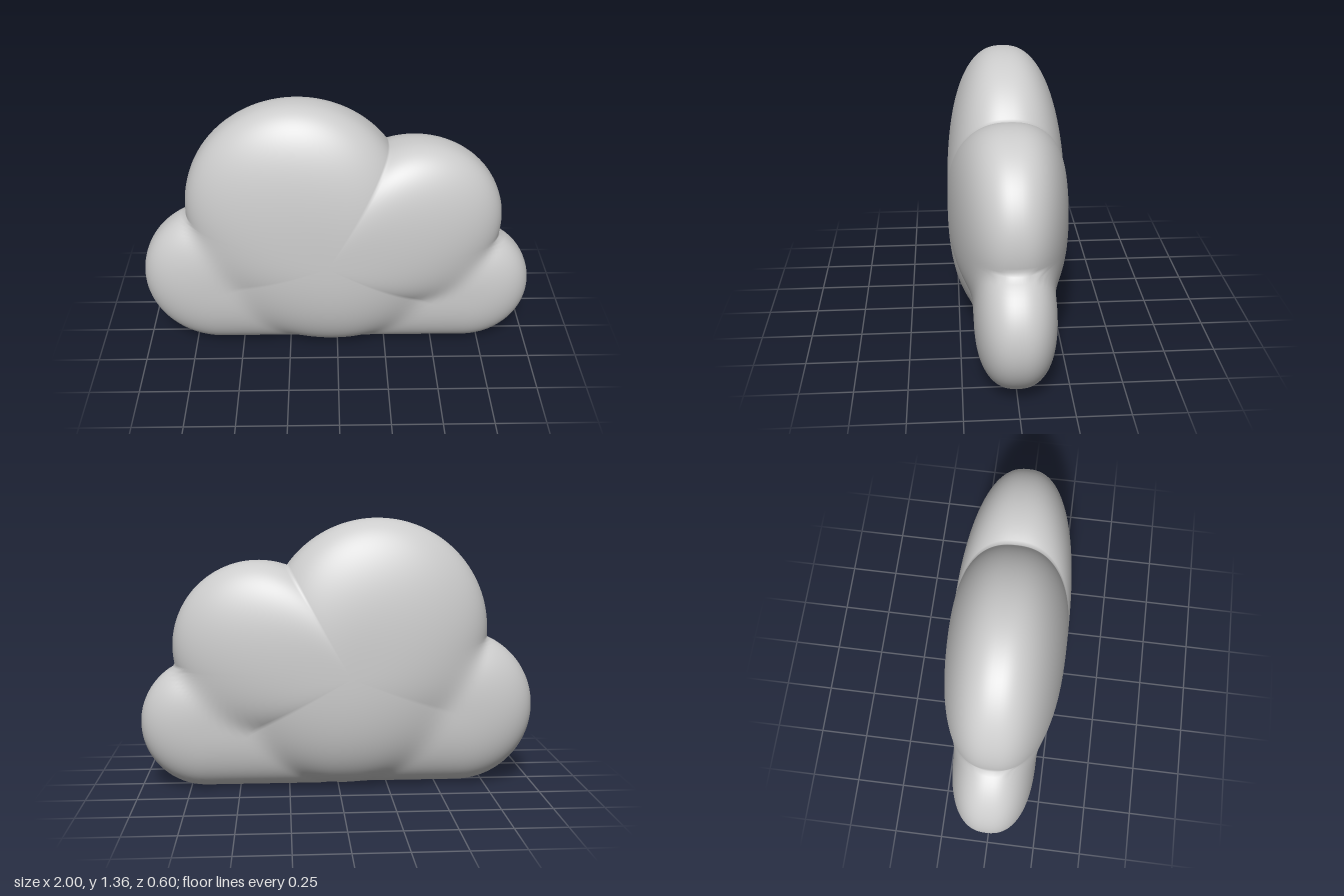
import * as THREE from 'three';

// Middle of the cloud, from which the surface fans out
const PX = -0.05, PY = 0.6;

// Overlapping discs that outline the main body: x, y, radius
const bodyDiscs = [
  [-0.2, 0.8, 0.56],   // tall top puff
  [0.4, 0.72, 0.432],  // shoulder puff
  [-0.03, 0.6, 0.592], // underside
];

// Side puffs, stretched inward along the base: x, y, radius, inner x, half depth
const sidePuffs = [
  [-0.61, 0.4, 0.39, 0, 0.21],
  [0.67, 0.333, 0.33, 0.1, 0.19],
];

// Pillow profile: 1 in the middle, 0 at the rim
const pillow = (s) => (s >= 1 ? 0 : Math.pow(1 - Math.pow(s, 2.4), 1 / 2.4));

// Distance from the middle to the body outline in direction (dx, dy)
function bodyRadius(dx, dy) {
  let far = 0;
  for (const [cx, cy, r] of bodyDiscs) {
    const ox = cx - PX, oy = cy - PY;
    const along = ox * dx + oy * dy;
    const root = r * r - (ox * ox + oy * oy - along * along);
    if (root > 0) far = Math.max(far, along + Math.sqrt(root));
  }
  return far;
}

// Half depth of the cloud at distance d in direction (dx, dy)
function halfDepth(dx, dy, d) {
  const x = PX + dx * d, y = PY + dy * d;
  const depths = [0.298 * pillow(d / bodyRadius(dx, dy))];
  for (const [cx, cy, r, inner, depth] of sidePuffs) {
    const nearX = Math.min(Math.max(x, Math.min(cx, inner)), Math.max(cx, inner));
    depths.push(depth * pillow(Math.hypot(x - nearX, y - cy) / r));
  }
  // Soft maximum blends the puffs where they meet
  const top = Math.max(...depths);
  if (top === 0) return 0;
  return top * Math.pow(depths.reduce((sum, h) => sum + Math.pow(h / top, 9), 0), 1 / 9);
}

// Outline distance, found by halving
function outline(dx, dy) {
  let lo = 0.3, hi = 1.4;
  for (let k = 0; k < 40; k++) {
    const mid = (lo + hi) / 2;
    if (halfDepth(dx, dy, mid) > 0) lo = mid; else hi = mid;
  }
  return lo;
}

function cloudGeometry(segments = 288, rings = 36) {
  const positions = [], indices = [];
  const directions = [];
  for (let i = 0; i < segments; i++) {
    const a = (i / segments) * Math.PI * 2;
    const dx = Math.cos(a), dy = Math.sin(a);
    directions.push([dx, dy, outline(dx, dy)]);
  }

  // Rows run from the front middle over the rim to the back middle
  positions.push(PX, PY, halfDepth(1, 0, 0));
  for (let j = 1; j < rings * 2; j++) {
    const t = (j / (rings * 2)) * Math.PI;
    const side = j < rings ? 1 : -1;
    for (const [dx, dy, far] of directions) {
      const d = far * Math.sin(t);
      const z = j === rings ? 0 : side * halfDepth(dx, dy, d);
      positions.push(PX + dx * d, PY + dy * d, z);
    }
  }
  positions.push(PX, PY, -halfDepth(1, 0, 0));

  const at = (j, i) => 1 + (j - 1) * segments + (i % segments);
  const last = positions.length / 3 - 1;
  for (let i = 0; i < segments; i++) {
    indices.push(0, at(1, i), at(1, i + 1));
    for (let j = 1; j < rings * 2 - 1; j++) {
      const a = at(j, i), b = at(j + 1, i), c = at(j + 1, i + 1), d = at(j, i + 1);
      indices.push(a, b, c, a, c, d);
    }
    indices.push(last, at(rings * 2 - 1, i + 1), at(rings * 2 - 1, i));
  }

  const geometry = new THREE.BufferGeometry();
  geometry.setAttribute('position', new THREE.Float32BufferAttribute(positions, 3));
  geometry.setIndex(indices);
  geometry.computeBoundingBox();
  geometry.translate(0, -geometry.boundingBox.min.y, 0);
  geometry.computeVertexNormals();
  return geometry;
}

export function createModel() {
  const group = new THREE.Group();
  group.name = 'cloud';
  const material = new THREE.MeshStandardMaterial({ color: 0xcccccc });
  material.name = 'light grey';
  const cloud = new THREE.Mesh(cloudGeometry(), material);
  cloud.name = 'cloudBody';
  group.add(cloud);
  return group;
}
